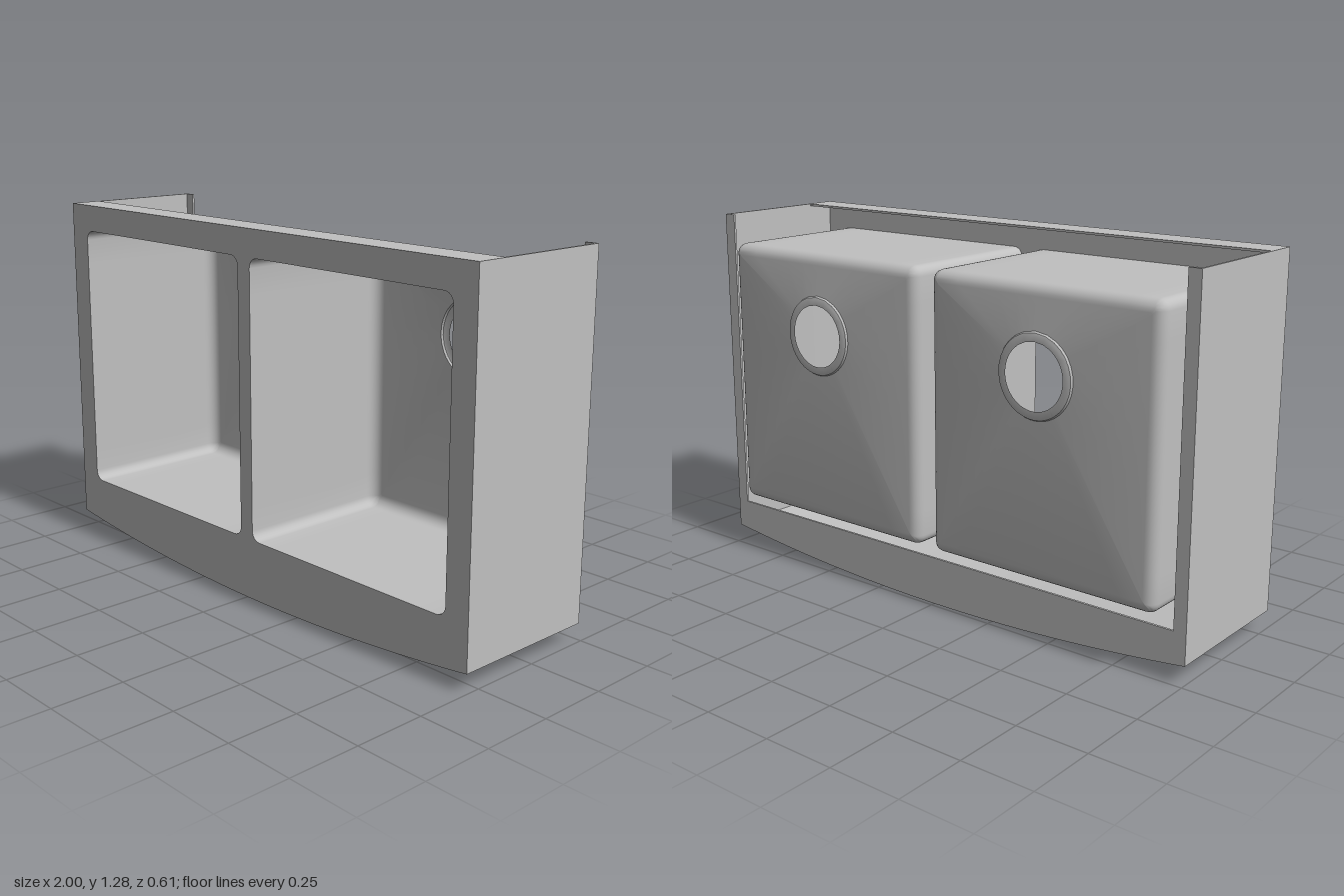
import * as THREE from 'three';
import { toCreasedNormals } from 'three/addons/utils/BufferGeometryUtils.js';

const FRONT = 0.305, BACK = -0.235, TOP = 1.28, END = 0.065, SHEET = 0.008;
const BOWL = { x: 0.47, y: 0.7, w: 0.44, h: 0.485, r: 0.035 };
const DRAIN_Y = 0.9;

// Rounded rectangle around the bowl centre, pulled in by inset; same point count every time
function outline(inset) {
  const r = Math.max(BOWL.r - inset, 0.006), w = BOWL.w - inset - r, h = BOWL.h - inset - r;
  const corners = [[w, h], [-w, h], [-w, -h], [w, -h]];
  const pts = [];
  corners.forEach(([cx, cy], i) => {
    for (let k = 0; k <= 6; k++) {
      const a = (i + k / 6) * Math.PI / 2;
      pts.push(new THREE.Vector2(cx + r * Math.cos(a), cy + r * Math.sin(a)));
    }
    // points along the straight edge to the next corner
    const a = (i + 1) * Math.PI / 2, n = corners[(i + 1) % 4];
    const ox = r * Math.cos(a), oy = r * Math.sin(a);
    for (let k = 1; k < 10; k++) {
      const t = k / 10;
      pts.push(new THREE.Vector2(cx + (n[0] - cx) * t + ox, cy + (n[1] - cy) * t + oy));
    }
  });
  return pts;
}

// Circle around the drain, each point in line with its outline point
function drainCircle(radius) {
  const dy = DRAIN_Y - BOWL.y;
  return outline(0.04).map((p) => {
    const a = Math.atan2(p.y - dy, p.x);
    return new THREE.Vector2(radius * Math.cos(a), dy + radius * Math.sin(a));
  });
}

// Skin through a list of [points, z] loops
function loft(loops) {
  const pos = [], index = [], n = loops[0][0].length;
  loops.forEach(([pts, z]) => pts.forEach((p) => pos.push(p.x, p.y, z)));
  for (let j = 0; j < loops.length - 1; j++) {
    for (let i = 0; i < n; i++) {
      const a = j * n + i, b = j * n + (i + 1) % n, c = a + n, d = b + n;
      index.push(a, c, b, b, c, d);
    }
  }
  const g = new THREE.BufferGeometry();
  g.setAttribute('position', new THREE.Float32BufferAttribute(pos, 3));
  g.setIndex(index);
  return toCreasedNormals(g, 0.5);
}

// Shape between the bowed lower edge and a straight top
function bowedShape(top) {
  const s = new THREE.Shape();
  s.moveTo(-1, END);
  s.quadraticCurveTo(0, -END, 1, END);
  s.lineTo(1, top);
  s.lineTo(-1, top);
  s.closePath();
  return s;
}

export function createModel() {
  const sink = new THREE.Group();
  sink.name = 'sink';
  const steel = new THREE.MeshStandardMaterial({ color: 0xc0c0c0, side: THREE.DoubleSide });
  steel.name = 'brushed steel';

  const add = (name, geometry, x = 0, y = 0, z = 0, parent = sink) => {
    const m = new THREE.Mesh(geometry, steel);
    m.name = name;
    m.position.set(x, y, z);
    parent.add(m);
    return m;
  };
  const extrude = (shape, depth) => toCreasedNormals(
    new THREE.ExtrudeGeometry(shape, { depth, bevelEnabled: false, curveSegments: 32 }), 0.5);

  // Front deck with the two bowl openings
  const deck = bowedShape(TOP);
  for (const s of [-1, 1]) {
    deck.holes.push(new THREE.Path(outline(0).map((p) => new THREE.Vector2(p.x + s * BOWL.x, p.y + BOWL.y))));
  }
  add('deck', extrude(deck, SHEET), 0, 0, FRONT - SHEET);

  // Top flange
  add('topFlange', new THREE.BoxGeometry(2, SHEET, 0.115), 0, TOP - SHEET / 2, FRONT - 0.0575);

  // Bowed apron sheet and its upright lip at the back
  const apron = new THREE.Shape();
  apron.moveTo(-1, END);
  apron.quadraticCurveTo(0, -END, 1, END);
  apron.lineTo(1, END + SHEET);
  apron.quadraticCurveTo(0, -END + SHEET, -1, END + SHEET);
  add('apron', extrude(apron, FRONT - BACK - 0.002), 0, 0, BACK + 0.001);
  add('apronLip', extrude(bowedShape(0.17), SHEET), 0, 0, BACK);

  // Wall, floor and drain loops of a bowl
  const wall = [[outline(0), FRONT - SHEET]];
  for (let k = 0; k <= 6; k++) {
    const a = k / 6 * Math.PI / 2;
    wall.push([outline(0.04 * (1 - Math.cos(a))), -0.242 - 0.04 * Math.sin(a)]);
  }
  wall.push([drainCircle(0.142), -0.296]);
  const bowlGeometry = loft(wall);
  const drainGeometry = loft([
    [drainCircle(0.142), -0.296], [drainCircle(0.138), -0.303],
    [drainCircle(0.132), -0.305], [drainCircle(0.11), -0.305],
  ]);

  for (const s of [-1, 1]) {
    const side = s > 0 ? 'left' : 'right';
    // Side wall with its return lip
    const h = TOP - END;
    add(side + 'Wall', new THREE.BoxGeometry(SHEET, h, FRONT - BACK), s * (1 - SHEET / 2), END + h / 2, (FRONT + BACK) / 2);
    add(side + 'WallLip', new THREE.BoxGeometry(0.045, TOP - 0.17, SHEET), s * 0.9775, (TOP + 0.17) / 2, BACK + SHEET / 2);

    // Bowl and drain ring
    const bowl = new THREE.Group();
    bowl.name = side + 'Bowl';
    bowl.position.set(s * BOWL.x, BOWL.y, 0);
    add('bowlShell', bowlGeometry, 0, 0, 0, bowl);
    add('drainRing', drainGeometry, 0, 0, 0, bowl);
    sink.add(bowl);
  }
  return sink;
}
